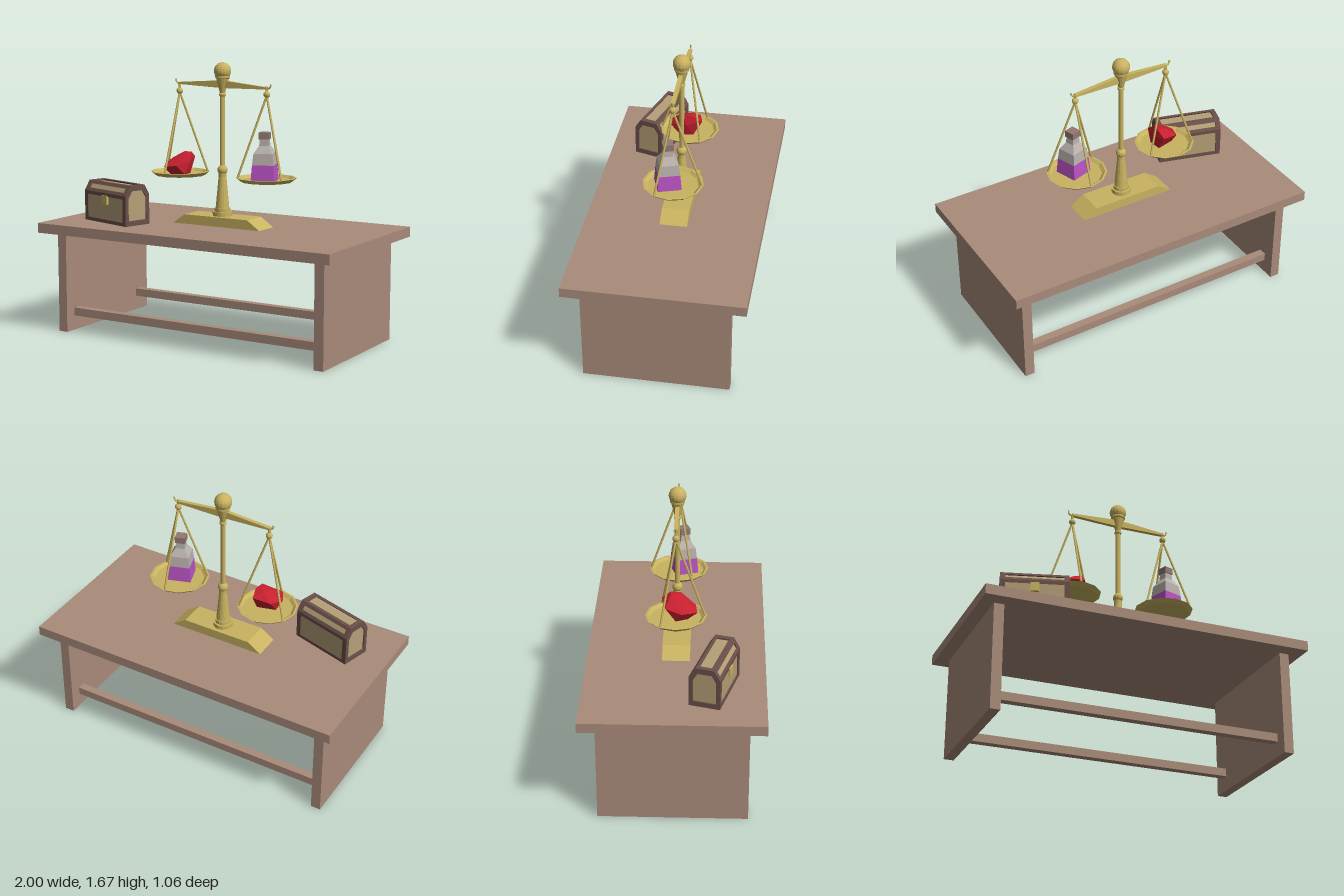
import * as THREE from 'three';
import { ConvexGeometry } from 'three/addons/geometries/ConvexGeometry.js';

const V = (x, y, z) => new THREE.Vector3(x, y, z);
const paint = (name, color) => Object.assign(new THREE.MeshStandardMaterial({ color, flatShading: true }), { name });

export function createModel() {
  const model = new THREE.Group();
  model.name = 'tableWithScale';
  const wood = paint('tableWood', 0xa98b7a);
  const gold = paint('gold', 0xc9b360);
  const darkWood = paint('chestFrameWood', 0x6b504a);
  const paleWood = paint('chestPanelWood', 0xb59f76);
  const red = paint('gemRed', 0xc6202f);
  const purple = paint('potionPurple', 0xb952c2);
  const glass = paint('glassGrey', 0xb9b0ac);
  const stopper = paint('stopperBrown', 0x937a72);

  function add(parent, name, geometry, material, x = 0, y = 0, z = 0) {
    const mesh = new THREE.Mesh(geometry, material);
    mesh.name = name;
    mesh.position.set(x, y, z);
    parent.add(mesh);
    return mesh;
  }
  function group(parent, name, x = 0, y = 0, z = 0) {
    const g = new THREE.Group();
    g.name = name;
    g.position.set(x, y, z);
    parent.add(g);
    return g;
  }
  const box = (w, h, d) => new THREE.BoxGeometry(w, h, d);
  const lathe = (points, sides) => new THREE.LatheGeometry(points.map(p => new THREE.Vector2(...p)), sides);
  const ball = r => new THREE.SphereGeometry(r, 16, 12);
  const shape = points => new THREE.Shape(points.map(p => new THREE.Vector2(...p)));
  // Prism centred along its own z axis
  function prism(outline, depth) {
    const g = new THREE.ExtrudeGeometry(outline, { depth, bevelEnabled: false });
    return g.translate(0, 0, -depth / 2);
  }
  function rod(parent, name, a, b, r, material) {
    const mesh = add(parent, name, new THREE.CylinderGeometry(r, r, a.distanceTo(b), 6), material);
    mesh.position.copy(a).add(b).multiplyScalar(0.5);
    mesh.quaternion.setFromUnitVectors(V(0, 1, 0), b.clone().sub(a).normalize());
  }

  // Table
  const table = group(model, 'table');
  add(table, 'tableTop', box(2, 0.06, 1.06), wood, 0, 0.655, 0);
  for (const s of [-1, 1]) {
    add(table, 'endPanel', box(0.06, 0.625, 0.87), wood, s * 0.89, 0.3125, 0);
    add(table, 'stretcher', box(1.72, 0.05, 0.05), wood, 0, 0.115, s * 0.335);
  }

  // Scale stand
  const scale = group(model, 'balanceScale');
  add(scale, 'base', prism(shape([[-0.305, 0.685], [0.305, 0.685], [0.22, 0.743], [-0.22, 0.743]]), 0.166), gold);
  add(scale, 'pillar', lathe([
    [0, 0.743], [0.06, 0.743], [0.06, 0.768], [0.048, 0.768], [0.048, 0.79], [0.042, 0.79], [0.024, 0.98],
    [0.024, 1.0], [0.015, 1.04], [0.015, 1.465], [0.021, 1.47], [0.021, 1.48], [0.016, 1.485],
    [0.02, 1.5], [0.038, 1.57], [0.044, 1.575], [0.044, 1.588], [0, 1.588]], 16), gold);
  add(scale, 'pillarBall', ball(0.031), gold, 0, 1.022, 0);
  add(scale, 'finial', ball(0.052), gold, 0, 1.617, 0);

  // Slightly tipped beam with upturned ends
  const beam = group(scale, 'beam', 0, 1.535, 0);
  beam.rotation.z = -0.02;
  add(beam, 'beamBar', prism(shape([
    [-0.31, -0.012], [0, -0.02], [0.31, -0.012], [0.31, 0], [0, 0.026], [-0.31, 0]]), 0.024), gold);
  for (const s of [-1, 1]) {
    const path = new THREE.CatmullRomCurve3([
      V(s * 0.295, -0.006, 0), V(s * 0.318, -0.006, 0), V(s * 0.329, 0.004, 0), V(s * 0.331, 0.02, 0)]);
    add(beam, 'beamHook', new THREE.TubeGeometry(path, 8, 0.005, 6), gold);
  }

  // Hanging pans, each on three rods
  for (const s of [-1, 1]) {
    const hanger = group(scale, s < 0 ? 'rightPan' : 'leftPan', s * 0.305, 0, 0);
    add(hanger, 'dish', lathe([
      [0, 0.972], [0.155, 0.972], [0.181, 0.995], [0.168, 0.996], [0.15, 0.981], [0, 0.981]], 12), gold);
    add(hanger, 'hangerBall', ball(0.02), gold, 0, 1.487, 0);
    rod(hanger, 'hangerLink', V(0, 1.49, 0), V(0, 1.535, 0), 0.008, gold);
    for (let i = 0; i < 3; i++) {
      const a = i * Math.PI * 2 / 3;
      rod(hanger, 'panRod', V(0, 1.48, 0), V(Math.sin(a) * 0.172, 0.99, -s * Math.cos(a) * 0.172), 0.0065, gold);
    }
  }

  // Cut gem lying in one pan
  add(model, 'gem', new ConvexGeometry([
    V(-0.355, 1.06, -0.06), V(-0.25, 1.08, -0.085), V(-0.225, 1.06, 0.01),
    V(-0.26, 1.04, 0.115), V(-0.34, 1.03, 0.125), V(-0.387, 1.04, 0.035),
    V(-0.29, 1.115, -0.03), V(-0.24, 1.115, -0.03), V(-0.25, 1.115, 0.03), V(-0.32, 1.085, 0.05),
    V(-0.36, 0.982, 0), V(-0.25, 0.982, -0.03), V(-0.24, 0.982, 0.05), V(-0.33, 0.982, 0.07)]), red);

  // Square potion bottle in the other pan
  const bottle = group(model, 'bottle', 0.31, 0, 0.03);
  bottle.rotation.y = 0.32 + Math.PI / 4;
  add(bottle, 'potion', lathe([[0, 0.982], [0.1, 0.982], [0.09, 1.078], [0, 1.078]], 4), purple);
  add(bottle, 'bottleGlass', lathe([
    [0, 1.078], [0.09, 1.078], [0.08, 1.145], [0.04, 1.19], [0.036, 1.228], [0, 1.228]], 4), glass);
  add(bottle, 'stopper', lathe([[0, 1.228], [0.044, 1.228], [0.044, 1.268], [0, 1.268]], 4), stopper);

  // Chest: pale core inside a dark frame, both from one cross-section
  const chest = group(model, 'chest', -0.62, 0.685, 0.23);
  chest.rotation.y = -0.28;
  const section = [[-0.092, 0], [0.092, 0], [0.092, 0.185], [0.055, 0.245], [-0.055, 0.245], [-0.092, 0.185]];
  const shrink = k => section.map(([x, y]) => [x * k, 0.118 + (y - 0.118) * k]);
  const shell = group(chest, 'chestShell');
  shell.rotation.y = Math.PI / 2;
  add(shell, 'chestPanels', prism(shape(shrink(0.92)), 0.384), paleWood);
  const ring = shape(section);
  ring.holes.push(new THREE.Path(shrink(0.74).reverse().map(p => new THREE.Vector2(...p))));
  for (const s of [-1, 1]) add(shell, 'chestEndFrame', prism(ring, 0.03), darkWood, 0, 0, s * 0.185);
  section.forEach((p, i) => {
    const corner = new THREE.Vector2(...p);
    const toward = j => new THREE.Vector2(...section[(i + j) % 6]).sub(corner).setLength(0.021);
    const next = toward(1), prev = toward(5);
    const bar = new THREE.Shape([
      corner, corner.clone().add(next), corner.clone().add(next).add(prev), corner.clone().add(prev)]);
    add(shell, 'chestEdgeBar', prism(bar, 0.37), darkWood);
  });
  add(chest, 'chestLock', box(0.05, 0.055, 0.02), gold, 0, 0.143, 0.09);

  return model;
}
